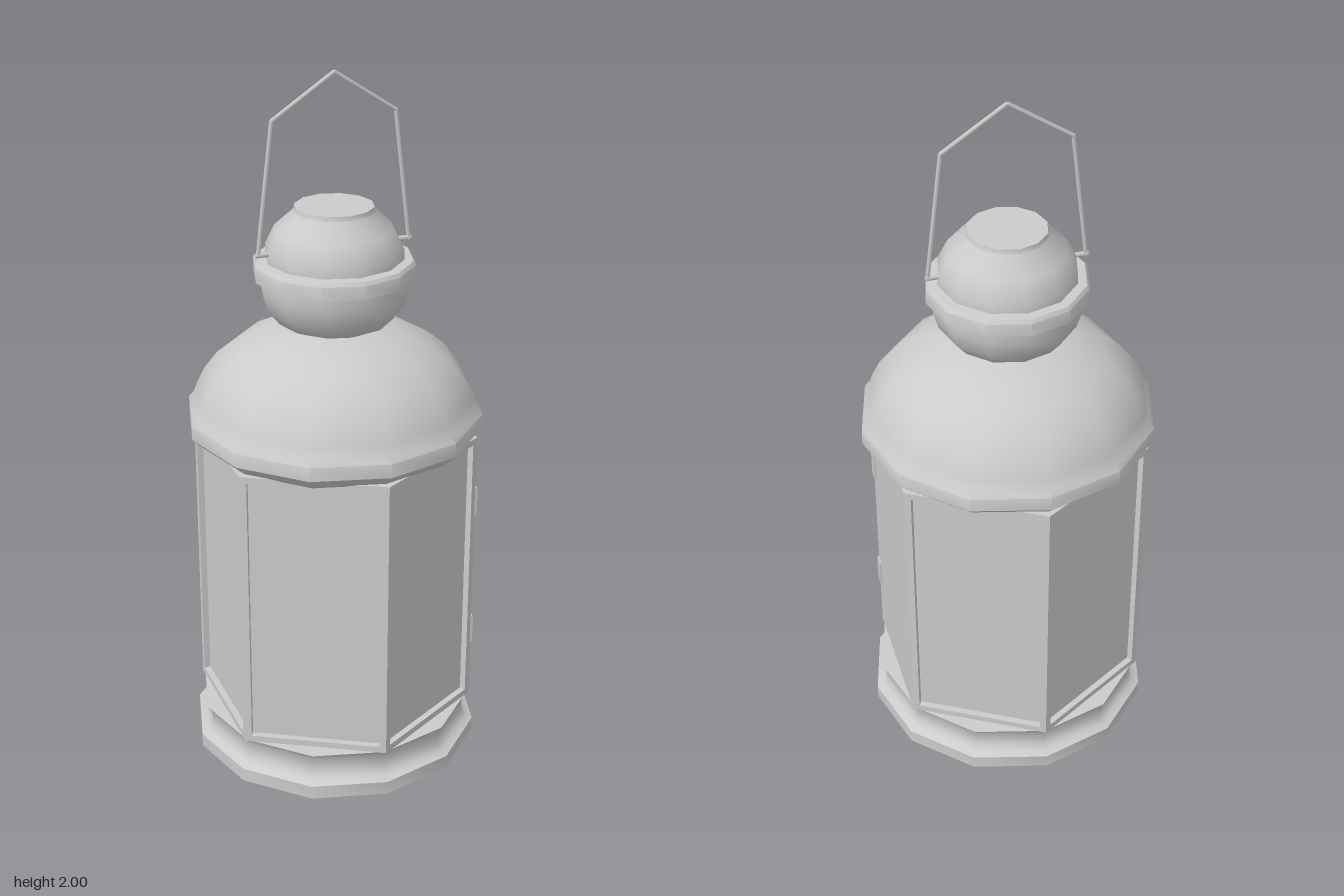
import * as THREE from 'three';
import { toCreasedNormals } from 'three/addons/utils/BufferGeometryUtils.js';

export function createModel() {
  const group = new THREE.Group();
  const mat = new THREE.MeshStandardMaterial({ color: 0xcccccc, side: THREE.DoubleSide });

  const add = (name, geo, parent = group) => {
    const mesh = new THREE.Mesh(geo, mat);
    mesh.name = name;
    parent.add(mesh);
    return mesh;
  };

  // Twelve-sided turned part, smooth around with crisp profile corners
  const turned = (name, profile) => {
    const points = profile.map(([r, y]) => new THREE.Vector2(r, y));
    return add(name, toCreasedNormals(new THREE.LatheGeometry(points, 12), 0.75));
  };

  turned('base', [
    [0, 0], [0.42, 0], [0.42, 0.04], [0.4, 0.05], [0.388, 0.07],
    [0.388, 0.11], [0.4, 0.13], [0, 0.135],
  ]);
  turned('roof', [
    [0, 0.965], [0.375, 0.965], [0.4, 0.985], [0.42, 1.005], [0.42, 1.045], [0.405, 1.062],
    [0.395, 1.09], [0.373, 1.135], [0.335, 1.185], [0.28, 1.23], [0.2, 1.27],
    [0.12, 1.293], [0, 1.295],
  ]);
  turned('chimney', [
    [0, 1.285], [0.115, 1.29], [0.16, 1.31], [0.192, 1.35], [0.207, 1.4], [0.207, 1.43],
    [0.226, 1.437], [0.226, 1.475], [0.218, 1.485], [0.192, 1.487], [0.192, 1.515],
    [0.165, 1.57], [0.112, 1.618], [0.11, 1.632], [0, 1.632],
  ]);

  // Hexagonal body: corners on the z axis, flat sides facing +x and -x
  const radius = 0.407, apothem = radius * Math.cos(Math.PI / 6);
  const bottom = 0.13, top = 0.972, border = 0.019, recess = 0.02;
  const height = top - bottom, half = radius / 2;

  const rect = (w, h, PathType) => {
    const p = new PathType();
    p.moveTo(-w, -h);
    p.lineTo(w, -h);
    p.lineTo(w, h);
    p.lineTo(-w, h);
    p.closePath();
    return p;
  };
  const frameShape = rect(half, height / 2, THREE.Shape);
  frameShape.holes.push(rect(half - border, height / 2 - border, THREE.Path));
  const frameGeo = new THREE.ExtrudeGeometry(frameShape, { depth: recess, bevelEnabled: false });
  const paneGeo = new THREE.PlaneGeometry(radius - border, height - border);

  for (let i = 0; i < 6; i++) {
    const side = new THREE.Group();
    side.name = i === 0 ? 'doorSide' : 'windowSide';
    side.rotation.y = Math.PI / 2 + i * Math.PI / 3;
    side.position.y = (bottom + top) / 2;
    group.add(side);
    if (i === 0) {
      // Plain door with two hinge plates on its front edge
      add('door', new THREE.BoxGeometry(radius, height, recess), side)
        .position.z = apothem - recess / 2;
      for (const y of [0.35, 0.77]) {
        add('hinge', new THREE.BoxGeometry(0.034, 0.085, 0.012), side)
          .position.set(-half + 0.016, y - side.position.y, apothem);
      }
    } else {
      add('windowFrame', frameGeo, side).position.z = apothem - recess;
      add('windowPane', paneGeo, side).position.z = apothem - recess + 0.002;
    }
  }

  // Bent wire handle with a pivot pin at each end
  const rod = (name, a, b, r) => {
    const from = new THREE.Vector3(...a), to = new THREE.Vector3(...b);
    const dir = to.clone().sub(from);
    const mesh = add(name, new THREE.CylinderGeometry(r, r, dir.length(), 6));
    mesh.position.copy(from).addScaledVector(dir, 0.5);
    mesh.quaternion.setFromUnitVectors(new THREE.Vector3(0, 1, 0), dir.normalize());
  };
  for (const s of [-1, 1]) {
    rod('handlePin', [s * 0.18, 1.515, 0], [s * 0.226, 1.515, 0], 0.007);
    rod('handleSide', [s * 0.22, 1.51, 0], [s * 0.176, 1.88, 0], 0.006);
    rod('handleTop', [s * 0.176, 1.878, 0], [0, 1.994, 0], 0.006);
  }

  return group;
}
